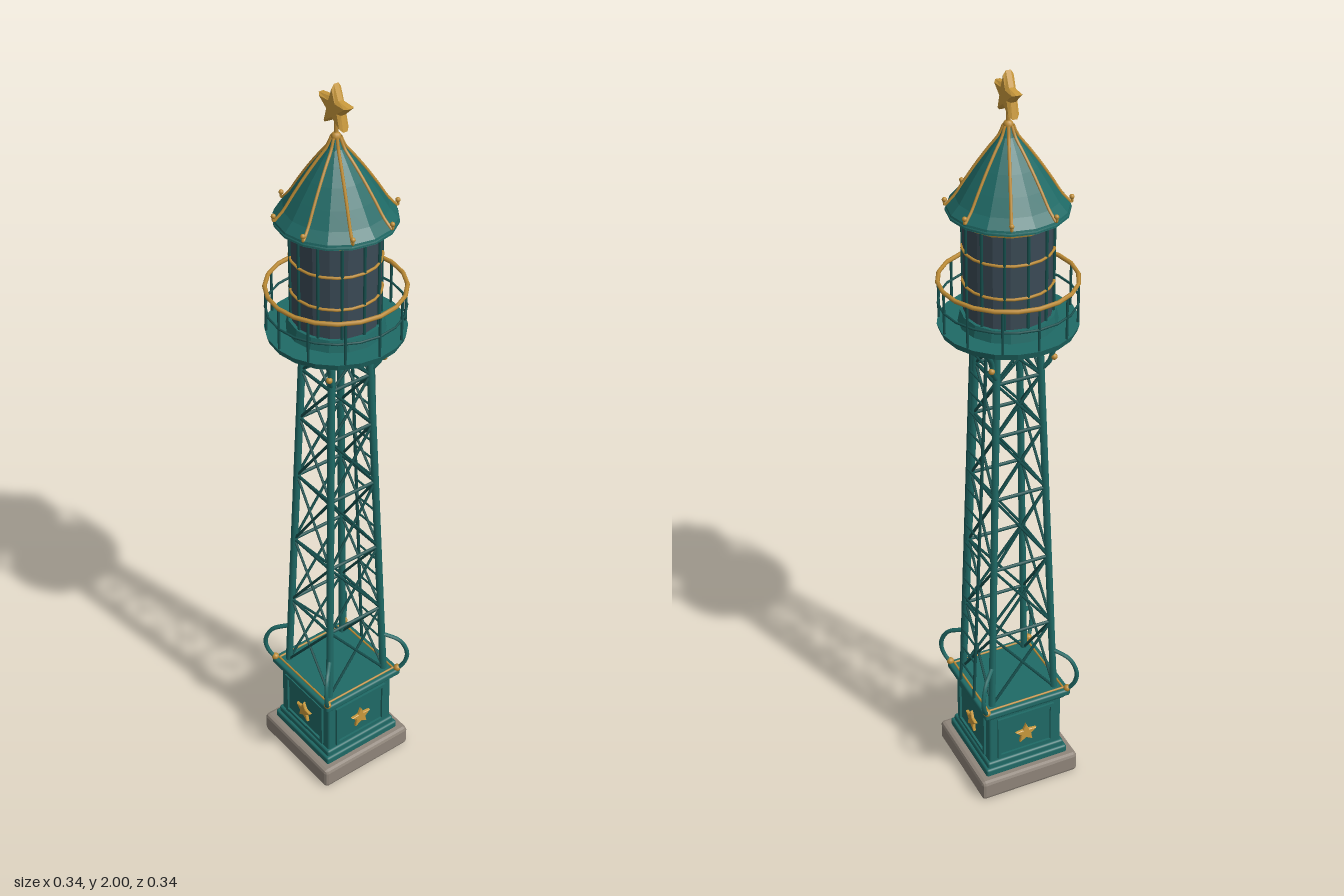
import * as THREE from 'three';
import { RoundedBoxGeometry } from 'three/addons/geometries/RoundedBoxGeometry.js';

const paint = (color, flatShading = false) => new THREE.MeshStandardMaterial({ color, flatShading, side: THREE.DoubleSide });
const TEAL = paint(0x1f6a66), TEAL_FLAT = paint(0x1f6a66, true), DARK = paint(0x16504e);
const GOLD = paint(0xbd8c36), GOLD_FLAT = paint(0xc9993c, true), STONE = paint(0x8f857a, true), GLASS = paint(0x3a4a55, true);
const V = (x, y, z) => new THREE.Vector3(x, y, z);

function add(parent, name, geometry, material, x = 0, y = 0, z = 0) {
  const mesh = new THREE.Mesh(geometry, material);
  mesh.name = name;
  mesh.position.set(x, y, z);
  parent.add(mesh);
  return mesh;
}

function group(parent, name) {
  const g = new THREE.Group();
  g.name = name;
  parent.add(g);
  return g;
}

// Straight round bar between two points
function rod(parent, name, a, b, r, material, sides = 6) {
  const mesh = add(parent, name, new THREE.CylinderGeometry(r, r, a.distanceTo(b), sides), material);
  mesh.position.copy(a).add(b).multiplyScalar(0.5);
  mesh.quaternion.setFromUnitVectors(V(0, 1, 0), b.clone().sub(a).normalize());
  return mesh;
}

const bent = (parent, name, points, r, material) =>
  add(parent, name, new THREE.TubeGeometry(new THREE.CatmullRomCurve3(points), 16, r, 6), material);

const ball = (parent, name, p, r) => add(parent, name, new THREE.SphereGeometry(r, 10, 8), GOLD, p.x, p.y, p.z);

function ring(parent, name, radius, tube, y, material, sides = 20) {
  const mesh = add(parent, name, new THREE.TorusGeometry(radius, tube, 6, sides), material, 0, y, 0);
  mesh.rotation.x = Math.PI / 2;
  return mesh;
}

const disc = (parent, name, rTop, rBottom, y0, y1, material, sides = 20) =>
  add(parent, name, new THREE.CylinderGeometry(rTop, rBottom, y1 - y0, sides), material, 0, (y0 + y1) / 2, 0);

// Five-pointed star with bevelled edges, centred on its own origin
function starGeometry(radius, depth, bevel) {
  const shape = new THREE.Shape();
  for (let i = 0; i < 10; i++) {
    const r = (i % 2 ? 0.48 : 1) * radius, a = Math.PI / 2 + i * Math.PI / 5;
    shape[i ? 'lineTo' : 'moveTo'](r * Math.cos(a), r * Math.sin(a));
  }
  return new THREE.ExtrudeGeometry(shape, {
    depth, bevelEnabled: true, bevelThickness: bevel, bevelSize: bevel, bevelOffset: -bevel, bevelSegments: 1,
  }).translate(0, 0, -depth / 2);
}

function buildBase(root) {
  const base = group(root, 'pedestal');
  add(base, 'stoneSlab', new RoundedBoxGeometry(0.285, 0.06, 0.285, 1, 0.01), STONE, 0, 0.03, 0);
  const block = (name, half, y0, y1, r = 0.006) =>
    add(base, name, new RoundedBoxGeometry(half * 2, y1 - y0, half * 2, 2, r), TEAL, 0, (y0 + y1) / 2, 0);
  block('plinth', 0.12, 0.055, 0.08);
  block('plinthStep', 0.113, 0.075, 0.097);
  block('pedestalBody', 0.106, 0.09, 0.26);
  block('corniceStep', 0.115, 0.25, 0.27);
  block('cornice', 0.125, 0.262, 0.282);
  // Framed panel with a star on each side
  for (let k = 0; k < 4; k++) {
    const side = group(base, 'panel');
    side.rotation.y = k * Math.PI / 2;
    for (const s of [-1, 1]) {
      add(side, 'panelStile', new THREE.BoxGeometry(0.01, 0.13, 0.008), TEAL, s * 0.078, 0.172, 0.108);
      add(side, 'panelRail', new THREE.BoxGeometry(0.166, 0.01, 0.008), TEAL, 0, 0.172 + s * 0.062, 0.108);
    }
    add(side, 'panelStar', starGeometry(0.032, 0.006, 0.002), GOLD_FLAT, 0, 0.165, 0.109);
    rod(side, 'corniceTrim', V(-0.11, 0.283, 0.11), V(0.11, 0.283, 0.11), 0.003, GOLD);
  }
}

const legAt = y => 0.091 - (y - 0.28) * 0.036 / 1.09;

function buildTower(root) {
  const tower = group(root, 'latticeTower');
  const levels = [0.28, 0.5, 0.71, 0.92, 1.1, 1.245, 1.355];
  for (let k = 0; k < 4; k++) {
    const side = group(tower, 'towerSide');
    side.rotation.y = k * Math.PI / 2;
    const corner = (s, y) => V(s * legAt(y), y, legAt(y));
    rod(side, 'leg', corner(1, 0.275), corner(1, 1.37), 0.0095, TEAL, 8);
    // Crossed braces between horizontal bars
    for (let i = 0; i < 6; i++) {
      const [a, b] = [levels[i], levels[i + 1]];
      rod(side, 'crossBrace', corner(-1, a), corner(1, b), 0.0038, DARK);
      rod(side, 'crossBrace', corner(1, a), corner(-1, b), 0.0038, DARK);
      rod(side, 'crossBar', corner(-1, b), corner(1, b), 0.0045, DARK);
    }
    rod(side, 'goldTopBar', corner(-1, 1.35), corner(1, 1.35), 0.005, GOLD);
    // Curved scroll at the foot and bracket at the head of each leg
    const diagonal = pts => pts.map(([d, y]) => V(d, y, d));
    bent(side, 'footScroll', diagonal([[0.118, 0.28], [0.132, 0.31], [0.136, 0.345], [0.122, 0.385], [0.089, 0.405]]), 0.006, TEAL);
    ball(side, 'scrollKnob', V(0.118, 0.285, 0.118), 0.01);
    bent(side, 'deckBracket', diagonal([[0.059, 1.26], [0.073, 1.285], [0.083, 1.325], [0.108, 1.366]]), 0.006, TEAL);
    ball(side, 'bracketKnob', V(0.082, 1.3, 0.082), 0.008);
  }
  // Sloping ladder on the back
  const ladder = group(tower, 'ladder');
  const ladderZ = y => -0.121 + (y - 0.28) * 0.045 / 1.08;
  for (const s of [-1, 1]) {
    rod(ladder, 'ladderRail', V(s * 0.042, 0.28, ladderZ(0.28)), V(s * 0.042, 1.37, ladderZ(1.37)), 0.0045, DARK);
  }
  for (let y = 0.34; y < 1.36; y += 0.056) {
    rod(ladder, 'ladderRung', V(-0.042, y, ladderZ(y)), V(0.042, y, ladderZ(y)), 0.003, DARK);
  }
}

function buildGallery(root) {
  const gallery = group(root, 'gallery');
  disc(gallery, 'deck', 0.17, 0.165, 1.364, 1.38, TEAL_FLAT);
  ring(gallery, 'midRail', 0.166, 0.003, 1.435, DARK);
  ring(gallery, 'topRail', 0.166, 0.0055, 1.49, GOLD);
  for (let i = 0; i < 12; i++) {
    const a = i * Math.PI / 6, x = 0.165 * Math.cos(a), z = 0.165 * Math.sin(a);
    rod(gallery, 'railPost', V(x, 1.378, z), V(x, 1.49, z), 0.0035, DARK);
  }
}

function buildLantern(root) {
  const lantern = group(root, 'lantern');
  disc(lantern, 'lanternBase', 0.114, 0.12, 1.38, 1.41, TEAL_FLAT, 16);
  disc(lantern, 'lanternGlass', 0.106, 0.106, 1.4, 1.66, GLASS, 16);
  for (const y of [1.49, 1.575]) ring(lantern, 'glazingRing', 0.108, 0.0035, y, GOLD);
  for (let i = 0; i < 12; i++) {
    const a = i * Math.PI / 6, x = 0.107 * Math.cos(a), z = 0.107 * Math.sin(a);
    rod(lantern, 'glazingBar', V(x, 1.4, z), V(x, 1.66, z), 0.004, DARK);
  }
  disc(lantern, 'goldCornice', 0.122, 0.112, 1.648, 1.672, GOLD_FLAT, 16);
}

function buildRoof(root) {
  const roof = group(root, 'roof');
  const profile = [[0.145, 1.668], [0.142, 1.68], [0.122, 1.702], [0.098, 1.74], [0.07, 1.782], [0.042, 1.82], [0.02, 1.848], [0.01, 1.872]];
  const outline = [[0, 1.668], ...profile, [0, 1.874]].map(([r, y]) => new THREE.Vector2(r, y));
  add(roof, 'roofShell', new THREE.LatheGeometry(outline, 16), TEAL_FLAT);
  ring(roof, 'eaveRing', 0.141, 0.0045, 1.671, TEAL, 16);
  // Gilded ribs with turned-up knobs
  for (let i = 0; i < 8; i++) {
    const rib = group(roof, 'roofRib');
    rib.rotation.y = Math.PI / 8 + i * Math.PI / 4;
    bent(rib, 'ribBar', profile.slice(1).map(([r, y]) => V(r + 0.001, y + 0.001, 0)), 0.0038, GOLD);
    bent(rib, 'ribTip', [V(0.137, 1.685, 0), V(0.145, 1.682, 0), V(0.146, 1.694, 0)], 0.003, GOLD);
    ball(rib, 'ribKnob', V(0.145, 1.694, 0), 0.006);
  }
  // Finial
  ball(roof, 'finialBall', V(0, 1.873, 0), 0.012);
  rod(roof, 'finialStem', V(0, 1.86, 0), V(0, 1.93, 0), 0.005, GOLD, 8);
  add(roof, 'finialStar', starGeometry(0.057, 0.012, 0.007), GOLD_FLAT, 0, 1.943, 0);
}

export function createModel() {
  const root = new THREE.Group();
  root.name = 'lighthouseTower';
  [buildBase, buildTower, buildGallery, buildLantern, buildRoof].forEach(build => build(root));
  return root;
}
